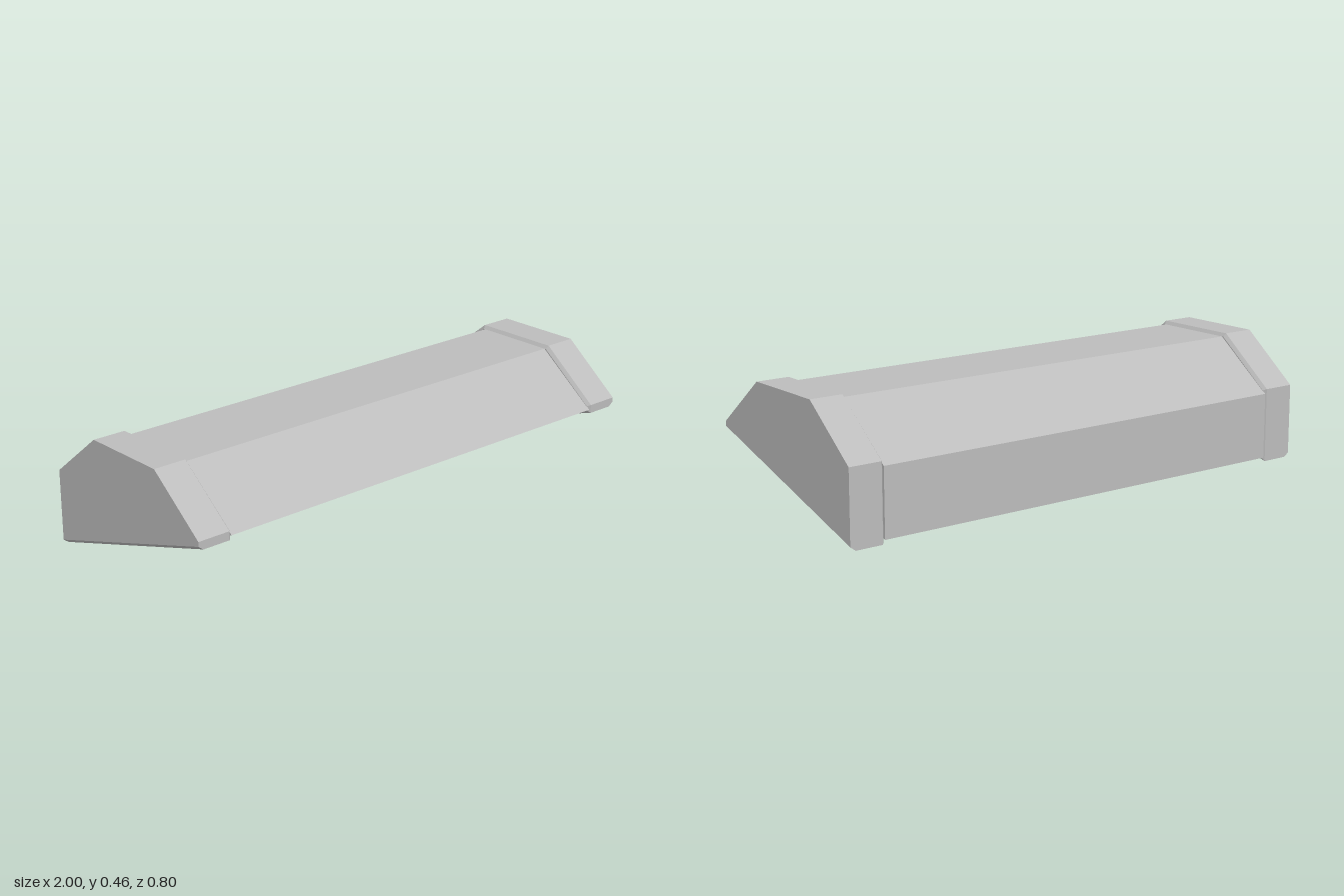
import * as THREE from 'three';

// Cross-sections as [z, y] corners, starting at the upper front edge and going over the top to the back
const bodyProfile = [[0.4, 0.265], [0.16, 0.45], [-0.16, 0.45], [-0.4, 0.265], [-0.4, 0.015]];
const capFull = [[0.4, 0.282], [0.172, 0.463], [-0.172, 0.463], [-0.4, 0.282], [-0.4, 0], [0.4, 0.25]];
const capInner = [[0.388, 0.276], [0.167, 0.45], [-0.167, 0.45], [-0.388, 0.276], [-0.388, 0.018], [0.388, 0.261]];
// The outer end has its lower edge lifted, giving the bottom bevel
const capOuter = capFull.map(([z, y], i) => [z, i > 3 ? y + 0.015 : y]);

// Closed flat-sided solid through convex sections, given in order of rising x
function loft(sections) {
  const n = sections[0].profile.length;
  const positions = [];
  const corner = (s, i) => {
    const [z, y] = sections[s].profile[i % n];
    positions.push(sections[s].x, y, z);
  };
  for (let s = 0; s < sections.length - 1; s++) {
    for (let i = 0; i < n; i++) {
      corner(s, i); corner(s + 1, i); corner(s + 1, i + 1);
      corner(s, i); corner(s + 1, i + 1); corner(s, i + 1);
    }
  }
  const last = sections.length - 1;
  for (let i = 1; i < n - 1; i++) {
    corner(0, 0); corner(0, i); corner(0, i + 1);
    corner(last, 0); corner(last, i + 1); corner(last, i);
  }
  const geometry = new THREE.BufferGeometry();
  geometry.setAttribute('position', new THREE.Float32BufferAttribute(positions, 3));
  geometry.computeVertexNormals();
  return geometry;
}

export function createModel() {
  const group = new THREE.Group();
  group.name = 'wedgeHousing';
  const grey = new THREE.MeshStandardMaterial({ color: 0xbcbcbc });
  grey.name = 'light grey';

  const add = (name, sections) => {
    const mesh = new THREE.Mesh(loft(sections), grey);
    mesh.name = name;
    group.add(mesh);
  };

  // Long central housing
  add('body', [{ x: -0.866, profile: bodyProfile }, { x: 0.866, profile: bodyProfile }]);

  // End caps with a bevelled seam towards the body
  const cap = [
    { x: 0.864, profile: capInner },
    { x: 0.874, profile: capFull },
    { x: 0.98, profile: capFull },
    { x: 1, profile: capOuter },
  ];
  add('leftEndCap', cap);
  add('rightEndCap', cap.map(({ x, profile }) => ({ x: -x, profile })).reverse());

  return group;
}
